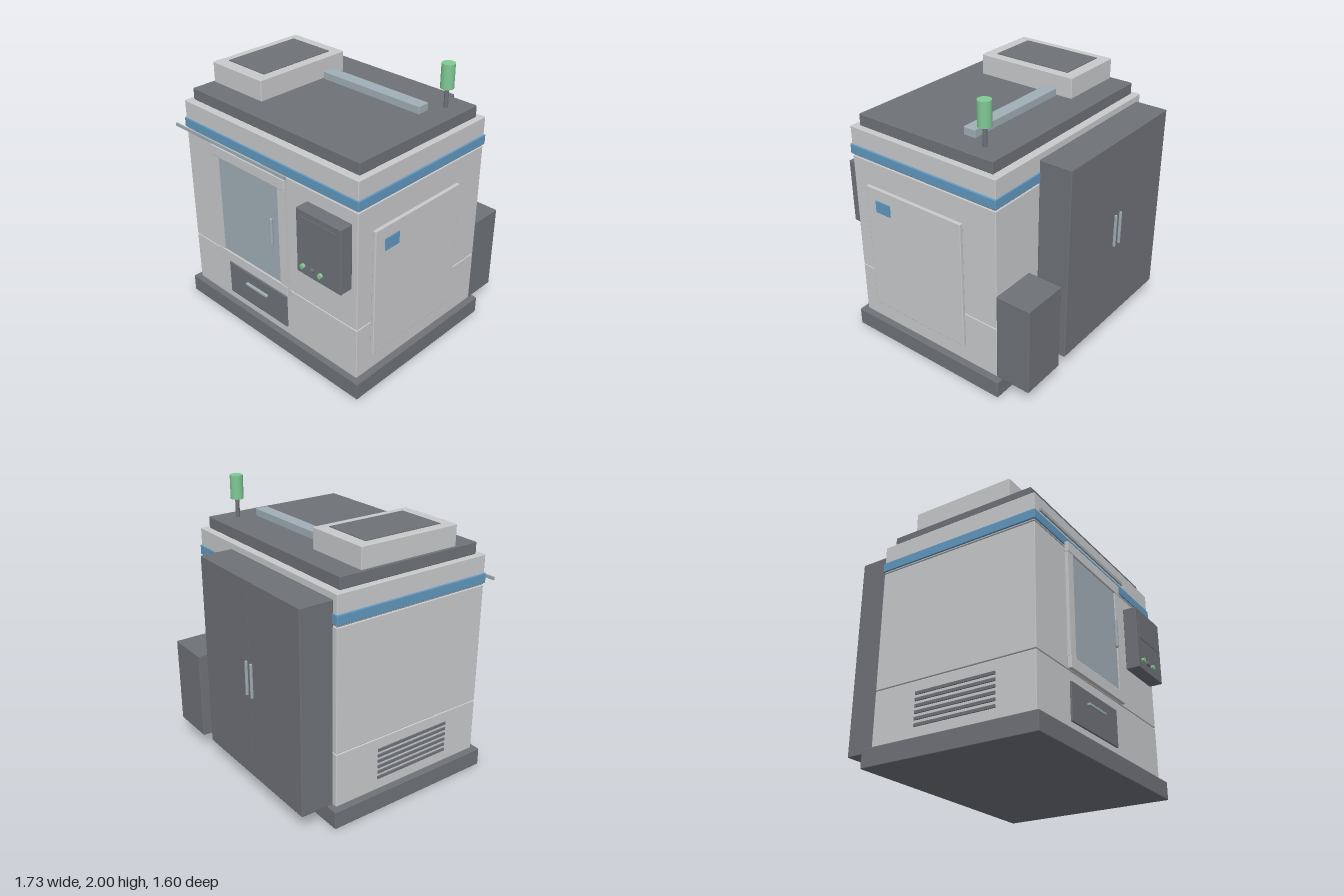
import * as THREE from 'three';
import { RoundedBoxGeometry } from 'three/addons/geometries/RoundedBoxGeometry.js';

const material = (name, color) => {
  const m = new THREE.MeshStandardMaterial({ color });
  m.name = name;
  return m;
};

export function createModel() {
  const group = new THREE.Group();
  const light = material('light grey paint', 0xc8c9cb);
  const dark = material('dark grey paint', 0x6e7177);
  const blue = material('blue trim', 0x6198c0);
  const green = material('green lamp', 0x80c995);
  const steel = material('pale blue steel', 0xa0aeb6);

  const add = (name, geometry, mat, x, y, z) => {
    const mesh = new THREE.Mesh(geometry, mat);
    mesh.name = name;
    mesh.position.set(x, y, z);
    group.add(mesh);
    return mesh;
  };
  // Box given by its limits, with softened edges when bevel is set
  const box = (name, mat, [x0, x1], [y0, y1], [z0, z1], bevel = 0) => {
    const size = [x1 - x0, y1 - y0, z1 - z0];
    const geometry = bevel ? new RoundedBoxGeometry(...size, 2, bevel) : new THREE.BoxGeometry(...size);
    return add(name, geometry, mat, (x0 + x1) / 2, (y0 + y1) / 2, (z0 + z1) / 2);
  };
  const B = 0.006;

  // Plinth and housing; the dark core shows in the seams
  box('plinth', dark, [-0.865, 0.865], [0, 0.13], [-0.58, 0.72], B);
  box('seamCore', dark, [-0.81, 0.81], [0.12, 1.6], [-0.53, 0.67]);
  box('lowerHousing', light, [-0.82, 0.82], [0.13, 0.523], [-0.54, 0.68], B);
  box('upperHousing', light, [-0.82, 0.82], [0.527, 1.395], [-0.54, 0.68], B);
  box('topHousing', light, [-0.82, 0.82], [1.4, 1.61], [-0.54, 0.68], B);
  box('trimBand', blue, [-0.83, 0.83], [1.41, 1.48], [-0.547, 0.688], B);

  // Roof with its hood, bar and signal lamp
  box('roof', dark, [-0.78, 0.78], [1.61, 1.695], [-0.49, 0.63], B);
  box('roofHood', light, [-0.765, -0.27], [1.69, 1.842], [-0.32, 0.455], B);
  box('hoodInset', dark, [-0.7, -0.335], [1.84, 1.847], [-0.24, 0.37]);
  box('roofBar', steel, [-0.26, 0.6], [1.69, 1.75], [-0.205, -0.112], B);
  add('lampPole', new THREE.CylinderGeometry(0.015, 0.015, 0.15, 16), dark, 0.65, 1.765, -0.325);
  add('signalLamp', new THREE.CylinderGeometry(0.046, 0.046, 0.17, 24), green, 0.65, 1.915, -0.325);

  // Sliding door: frame, window, handle and overhead rail
  box('doorTopRail', light, [-0.495, 0.23], [1.328, 1.405], [0.703, 0.732], 0.004);
  box('doorBottomRail', light, [-0.495, 0.23], [0.51, 0.59], [0.703, 0.732], 0.004);
  box('doorLeftStile', light, [0.165, 0.23], [0.59, 1.328], [0.705, 0.729]);
  box('doorRightStile', light, [-0.495, -0.43], [0.59, 1.328], [0.705, 0.729]);
  box('doorWindow', steel, [-0.432, 0.167], [0.588, 1.33], [0.711, 0.72]);
  add('doorHandle', new THREE.CapsuleGeometry(0.012, 0.19, 4, 12), steel, 0.115, 0.983, 0.748);
  box('slideRail', steel, [-0.855, 0.26], [1.425, 1.447], [0.735, 0.747]);

  // Control panel
  box('controlPanel', dark, [0.39, 0.775], [0.833, 1.305], [0.68, 0.78], B);
  box('controlScreen', dark, [0.422, 0.745], [1.07, 1.262], [0.778, 0.785]);
  [[0.45, green], [0.528, dark], [0.605, green]].forEach(([x, mat]) => {
    const button = add('controlButton', new THREE.CylinderGeometry(0.017, 0.017, 0.022, 20), mat, x, 0.9, 0.789);
    button.rotation.x = Math.PI / 2;
  });

  // Chip drawer
  box('drawer', dark, [-0.435, 0.17], [0.195, 0.455], [0.678, 0.692], 0.004);
  box('drawerHandle', steel, [-0.24, -0.02], [0.355, 0.373], [0.69, 0.712], 0.004);

  // Side service panel with its window
  box('servicePanel', light, [0.818, 0.845], [0.265, 1.22], [-0.275, 0.548], B);
  box('serviceWindow', blue, [0.844, 0.853], [1.047, 1.133], [0.335, 0.463]);

  // Vent slats on the other side
  for (let i = 0; i < 6; i++) {
    const y = 0.225 + i * 0.042;
    box('ventSlat', dark, [-0.829, -0.819], [y - 0.01, y + 0.01], [-0.2, 0.4]);
  }

  // Rear cabinet with paired door handles, and the rear tank
  box('rearCabinet', dark, [-0.78, 0.385], [0.13, 1.565], [-0.78, -0.538], B);
  box('cabinetSeam', dark, [-0.199, -0.197], [0.16, 1.535], [-0.782, -0.778]);
  for (const x of [-0.229, -0.169]) {
    box('cabinetHandle', steel, [x - 0.008, x + 0.008], [0.75, 1.0], [-0.796, -0.778], 0.004);
  }
  box('rearTank', dark, [0.48, 0.82], [0.13, 0.78], [-0.798, -0.538], B);

  return group;
}
